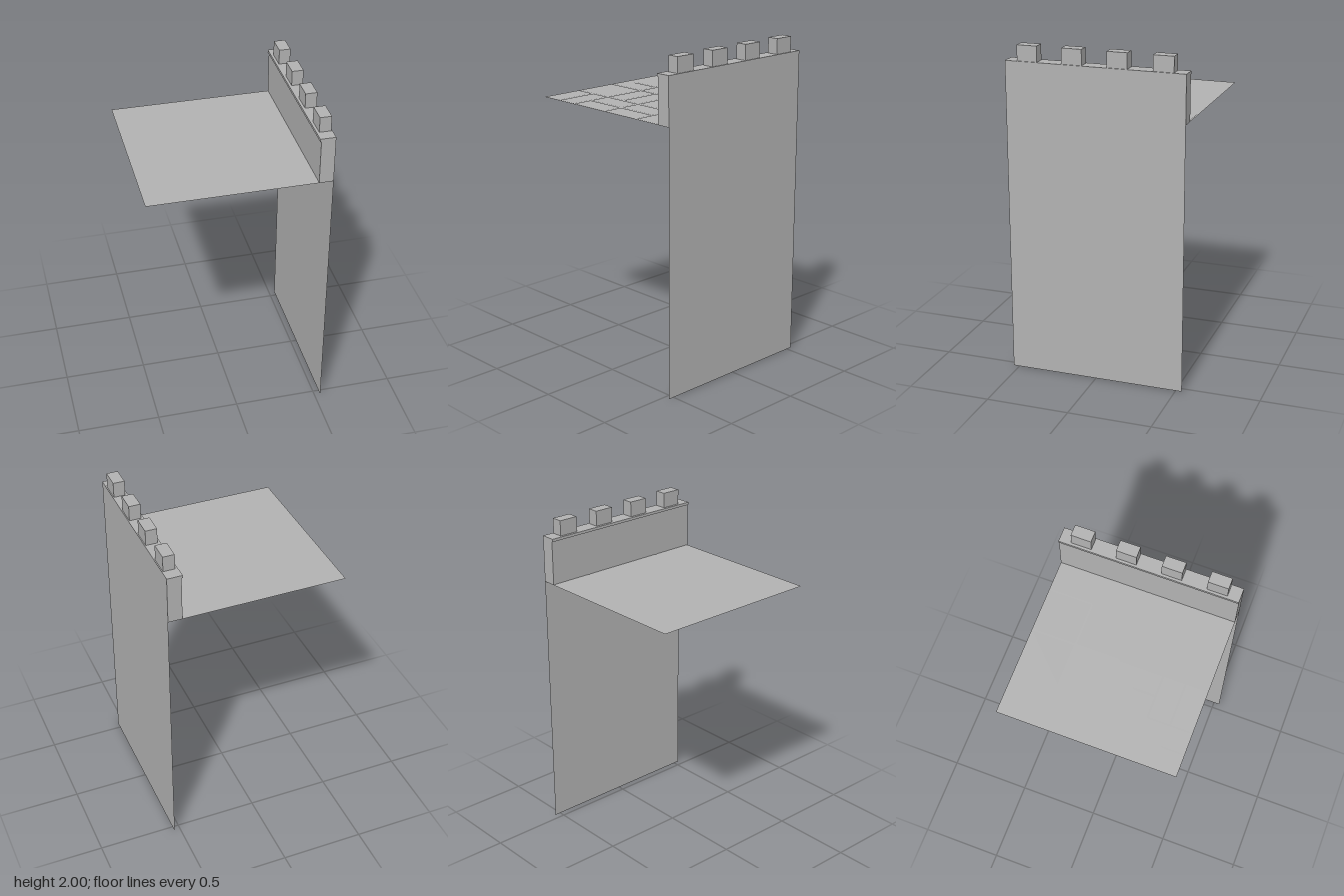
import * as THREE from 'three';

export function createModel() {
  const group = new THREE.Group();
  const stone = new THREE.MeshStandardMaterial({ color: 0xb2b2b2, side: THREE.DoubleSide });
  stone.name = 'grey stone';

  const HALF = 0.5375, FLOOR = 1.62, CAP = 1.89, TOP = 1.907;

  const add = (name, geometry, x, y, z, parent = group) => {
    const mesh = new THREE.Mesh(geometry, stone);
    mesh.name = name;
    mesh.position.set(x, y, z);
    parent.add(mesh);
    return mesh;
  };
  // Box given by its extents in x and y, centred on z
  const block = (name, x0, x1, y0, y1, depth, z = 0) =>
    add(name, new THREE.BoxGeometry(x1 - x0, y1 - y0, depth), (x0 + x1) / 2, (y0 + y1) / 2, z);

  // Thin outer wall below the walkway
  add('outerWall', new THREE.PlaneGeometry(2 * HALF, FLOOR).rotateY(Math.PI / 2), HALF, FLOOR / 2, 0);

  // Parapet, its overhanging cap and four merlons
  block('parapet', 0.453, HALF, FLOOR, CAP, 2 * HALF);
  block('parapetCap', 0.446, HALF, CAP, TOP, 2 * HALF);
  for (let i = 0; i < 4; i++) {
    block('merlon', 0.462, 0.531, TOP, 2, 0.121, (i - 1.5) * 0.27);
  }

  // Walkway floor with paving slabs separated by narrow joints
  add('walkwayFloor', new THREE.PlaneGeometry(2 * HALF, 2 * HALF).rotateX(-Math.PI / 2), 0, FLOOR, 0);
  const paving = new THREE.Group();
  paving.name = 'pavingSlabs';
  group.add(paving);
  const CELL = HALF / 2, JOINT = 0.012;
  const slab = (x, z, w, d) =>
    add('slab', new THREE.PlaneGeometry(w - JOINT, d - JOINT).rotateX(-Math.PI / 2), x, FLOOR + 0.002, z, paving);

  // o = whole slab, h = split across z, v = split across x
  ['oooo', 'hooo', 'ovoo', 'vhho'].forEach((row, r) => {
    [...row].forEach((kind, c) => {
      const x = (c - 1.5) * CELL, z = (r - 1.5) * CELL, q = CELL / 4;
      if (kind === 'o') slab(x, z, CELL, CELL);
      else for (const s of [-q, q]) {
        if (kind === 'h') slab(x, z + s, CELL, CELL / 2);
        else slab(x + s, z, CELL / 2, CELL);
      }
    });
  });

  return group;
}
